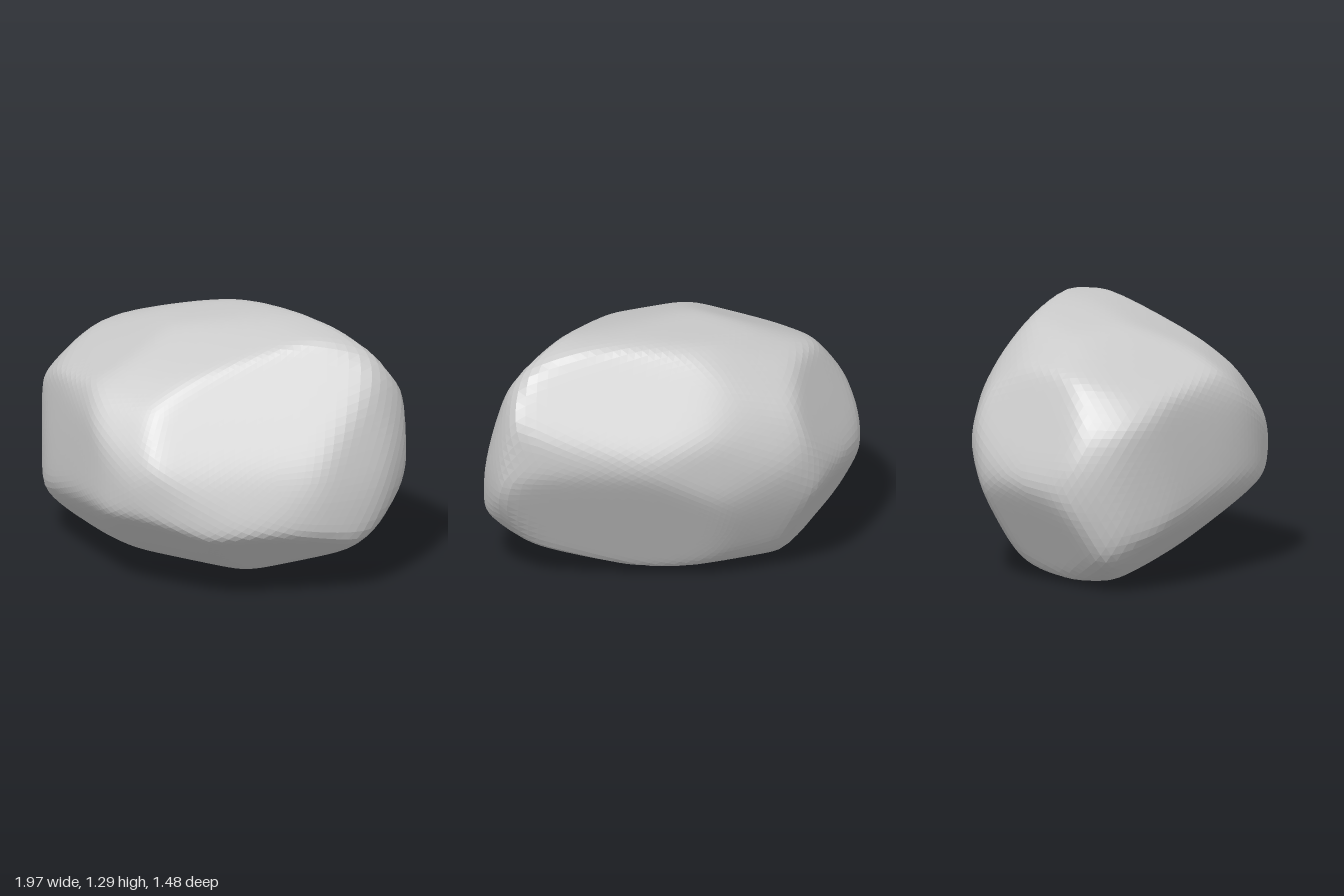
import * as THREE from 'three';

// Height of the boulder's centre, and sharpness of its edges
const MID = 0.655;
const SHARP = 48;

// Outlines of the boulder along each axis
const frontXY = [[-1, 0.6], [-0.97, 0.35], [-0.92, 0.17], [-0.65, 0.03], [-0.37, 0], [0.32, 0.07], [0.8, 0.22],
  [0.95, 0.35], [1, 0.6], [0.97, 0.85], [0.9, 1.08], [0.8, 1.2], [0.6, 1.28], [0.3, 1.31], [-0.4, 1.22],
  [-0.75, 1.08], [-0.93, 0.85]];
const sideZY = [[0.75, 0.64], [0.72, 0.47], [0.65, 0.4], [0.3, 0.13], [0.1, 0.04], [-0.07, 0], [-0.3, 0.03],
  [-0.44, 0.07], [-0.52, 0.14], [-0.68, 0.45], [-0.75, 0.69], [-0.68, 0.93], [-0.55, 1.17], [-0.4, 1.28],
  [-0.27, 1.31], [-0.1, 1.29], [0.15, 1.22], [0.4, 1.12], [0.57, 1.0], [0.7, 0.8]];
const topXZ = [[-1, -0.17], [-0.95, 0.02], [-0.77, 0.29], [-0.41, 0.58], [-0.2, 0.7], [0, 0.75], [0.17, 0.71],
  [0.35, 0.64], [0.57, 0.51], [0.83, 0.24], [0.94, 0.05], [1, -0.12], [0.98, -0.3], [0.85, -0.42], [0.6, -0.54],
  [0.3, -0.66], [-0.1, -0.72], [-0.37, -0.75], [-0.58, -0.69], [-0.8, -0.51], [-0.95, -0.32]];

// Oblique worn faces: normal x, y, z and distance from the centre
const faces = [
  [0.5, 0.55, 0.67, 0.58], [0.57, 0.3, 0.76, 0.64], [0.85, 0.25, 0.45, 0.79], // front, +x side
  [-0.55, 0.45, 0.7, 0.73], [-0.65, 0.1, 0.75, 0.7], // front, -x side
  [-0.35, 0.9, 0.25, 0.61], [-0.7, 0.64, 0.3, 0.79], // top
  [-0.3, 0.9, -0.3, 0.7], [-0.2, 0.72, -0.66, 0.74], // top, towards the back
  [-0.3, -0.75, 0.6, 0.64], [0.4, -0.75, 0.5, 0.66], // underside
  [-0.45, -0.49, 0.75, 0.7], [-0.71, -0.5, 0.49, 0.87], // low front, -x corner
  [0.25, 0.5, -0.83, 0.68], [0.35, -0.45, -0.82, 0.62], // back
  [-0.7, 0.4, -0.6, 0.83], [-0.6, -0.5, -0.6, 0.83], // back, -x corner
  [0.7, -0.6, -0.4, 0.87], // low +x corner
];

// Turn each outline edge into a cutting plane, stored as normal / distance
function outlinePlanes(outline, to3D, midHeight) {
  return outline.map(([a, b], i) => {
    const [c, d] = outline[(i + 1) % outline.length];
    const nu = d - b, nv = a - c;
    const dist = nu * a + nv * (b - midHeight);
    return to3D(nu / dist, nv / dist);
  });
}

export function createModel() {
  const planes = [
    ...outlinePlanes(frontXY, (u, v) => new THREE.Vector3(u, v, 0), MID),
    ...outlinePlanes(sideZY, (u, v) => new THREE.Vector3(0, v, u), MID),
    ...outlinePlanes(topXZ, (u, v) => new THREE.Vector3(u, 0, v), 0),
    ...faces.map(([x, y, z, d]) => new THREE.Vector3(x, y, z).divideScalar(d)),
  ];

  // Push a faceted ball out to the softly blended planes (halving keeps two-plane edges on size)
  const geometry = new THREE.IcosahedronGeometry(1, 24);
  const pos = geometry.attributes.position;
  const dir = new THREE.Vector3();
  for (let i = 0; i < pos.count; i++) {
    dir.fromBufferAttribute(pos, i).normalize();
    let sum = 0;
    for (const n of planes) sum += Math.max(0, n.dot(dir)) ** SHARP;
    dir.multiplyScalar((sum / 2) ** (-1 / SHARP));
    pos.setXYZ(i, dir.x, dir.y + MID, dir.z);
  }
  geometry.computeVertexNormals();

  const boulder = new THREE.Mesh(geometry, new THREE.MeshStandardMaterial({ color: 0xcccccc, flatShading: true }));
  boulder.name = 'boulder';
  const group = new THREE.Group();
  group.name = 'rock';
  group.add(boulder);
  return group;
}
